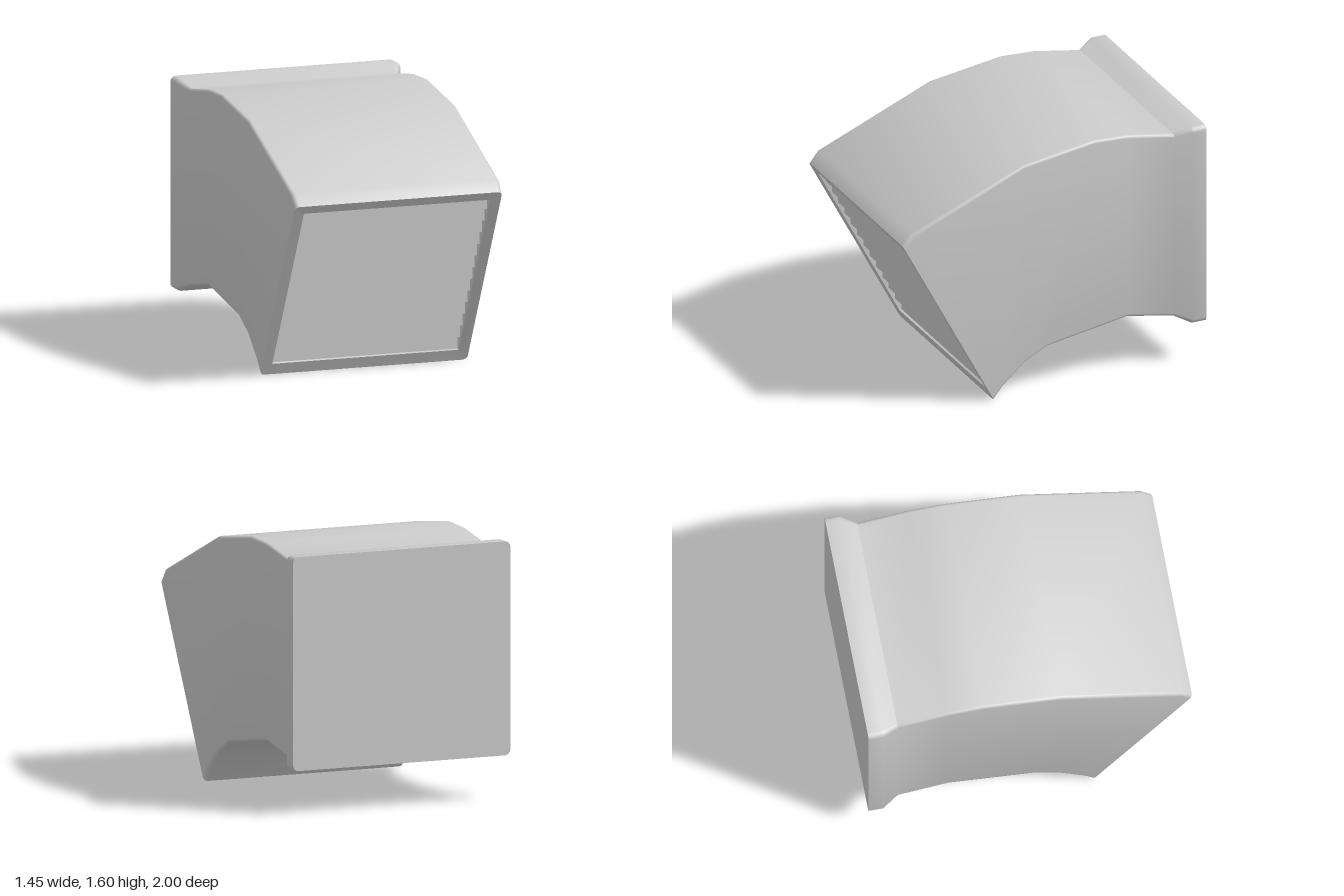
import * as THREE from 'three';
import { toCreasedNormals } from 'three/addons/utils/BufferGeometryUtils.js';

const ARC = 4; // segments per rounded corner

// Rounded rectangle standing between a bottom and a top point in the z/y plane
function ring([tz, ty, bz, by, halfWidth, r]) {
  const length = Math.hypot(tz - bz, ty - by);
  const dz = (tz - bz) / length, dy = (ty - by) / length;
  const points = [];
  [[1, 1], [-1, 1], [-1, -1], [1, -1]].forEach(([sx, sy], corner) => {
    for (let k = 0; k <= ARC; k++) {
      const a = (corner + k / ARC) * Math.PI / 2;
      const x = sx * (halfWidth - r) + r * Math.cos(a);
      const s = sy * (length / 2 - r) + r * Math.sin(a);
      points.push([x, (ty + by) / 2 + dy * s, (tz + bz) / 2 + dz * s]);
    }
  });
  return points;
}

// Skin through the rings from back to front, closed at both ends
function loft(sections) {
  const rings = sections.map(ring);
  const n = rings[0].length;
  const index = [];
  for (let i = 0; i < rings.length - 1; i++) {
    for (let j = 0; j < n; j++) {
      const a = i * n + j, b = i * n + (j + 1) % n;
      index.push(a, b, a + n, b, b + n, a + n);
    }
  }
  const last = (rings.length - 1) * n;
  for (let j = 1; j < n - 1; j++) {
    index.push(0, j + 1, j);
    index.push(last, last + j, last + j + 1);
  }
  const geometry = new THREE.BufferGeometry();
  geometry.setAttribute('position', new THREE.Float32BufferAttribute(rings.flat(2), 3));
  geometry.setIndex(index);
  return toCreasedNormals(geometry, 0.6);
}

export function createModel() {
  const group = new THREE.Group();
  const material = new THREE.MeshStandardMaterial({ color: 0xcccccc });

  // Curved hood with rear flange, front frame and recess: top z, y, bottom z, y, half width, radius
  const hood = new THREE.Mesh(loft([
    [-1, 1.58, -1, 0.27, 0.725, 0.035],
    [-0.91, 1.58, -0.91, 0.27, 0.725, 0.035],
    [-0.81, 1.535, -0.81, 0.32, 0.67, 0.02],
    [-0.5, 1.59, -0.5, 0.38, 0.67, 0.02],
    [-0.28, 1.6, 0.04, 0.29, 0.67, 0.02],
    [0.19, 1.53, 0.19, 0.21, 0.67, 0.02],
    [0.94, 1.22, 0.33, 0.08, 0.67, 0.025],
    [1, 1.15, 0.39, 0, 0.668, 0.03],
    [0.968, 1.1, 0.423, 0.07, 0.6, 0.004],
    [0.862, 1.156, 0.317, 0.126, 0.6, 0.004],
  ]), material);
  hood.name = 'hood';
  group.add(hood);

  // Upright louvre slats stepping back down the sloping mouth
  const louvres = new THREE.Group();
  louvres.name = 'louvres';
  const count = 13, top = 1.115, bottom = 0.075;
  const height = (top - bottom) / count, depth = 0.065;
  const slatGeometry = new THREE.BoxGeometry(1.198, height, depth);
  for (let i = 0; i < count; i++) {
    const low = top - (i + 1) * height;
    const front = 0.423 + (low - 0.07) * 0.529 - 0.015;
    const slat = new THREE.Mesh(slatGeometry, material);
    slat.name = 'slat';
    slat.position.set(0, low + height / 2, front - depth / 2);
    louvres.add(slat);
  }
  group.add(louvres);
  return group;
}
